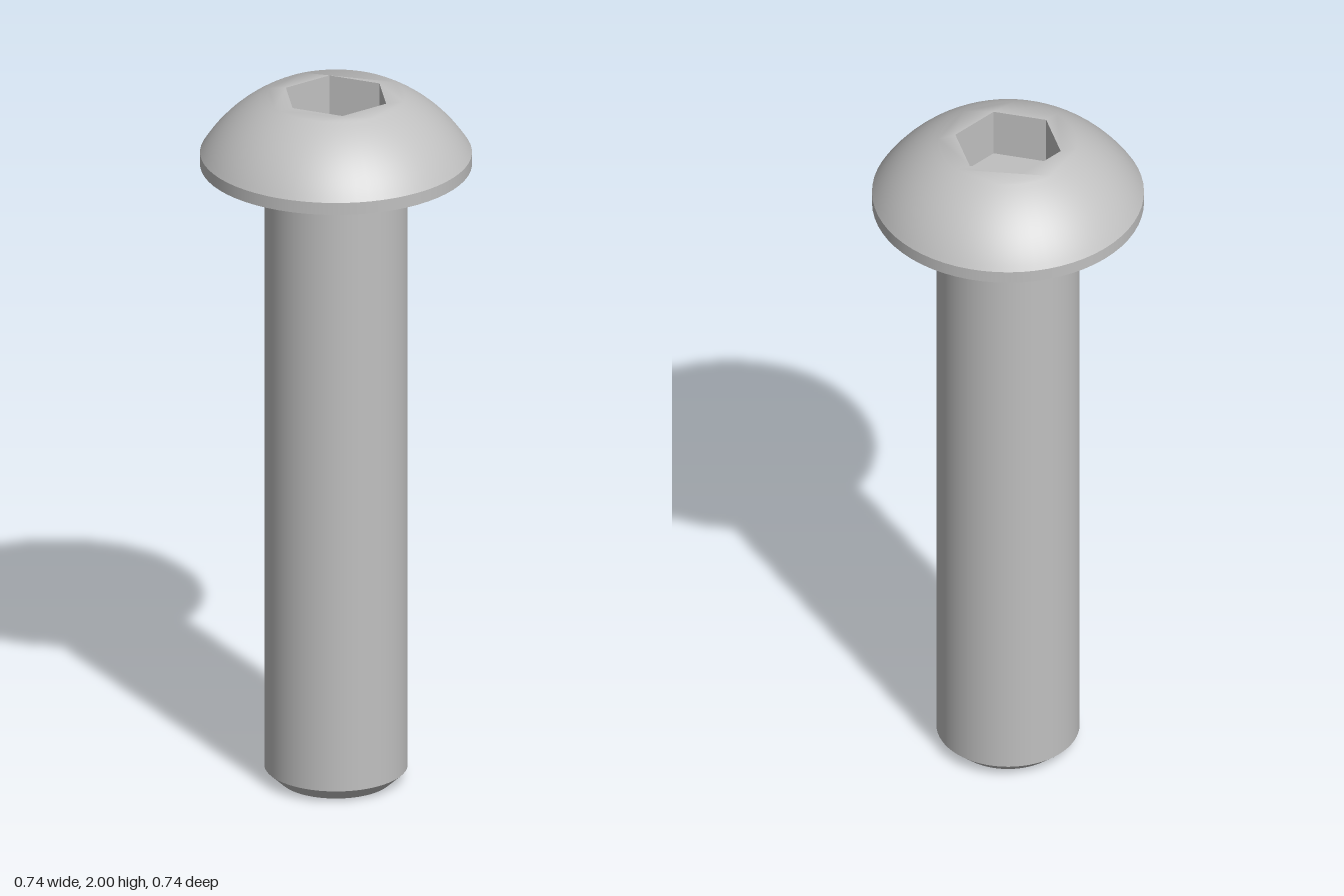
import * as THREE from 'three';
import { mergeGeometries } from 'three/addons/utils/BufferGeometryUtils.js';

const SEGMENTS = 64;
const RIM = 0.37, RIM_BASE = 1.8, RIM_TOP = 1.835;
const CROWN = 0.19, TOP = 2;
const SHANK = 0.195, TIP = 0.155, CHAMFER = 0.037;
const HEX = 0.148, SOCKET_DEPTH = 0.14;

// Revolves each profile on its own, so edges between profiles stay sharp
function revolve(profiles) {
  return mergeGeometries(profiles.map((p) =>
    new THREE.LatheGeometry(p.map(([r, y]) => new THREE.Vector2(r, y)), SEGMENTS)));
}

export function createModel() {
  const group = new THREE.Group();
  const steel = new THREE.MeshStandardMaterial({ color: 0xc0c0c0 });
  steel.name = 'steel grey';

  const add = (name, geometry) => {
    const mesh = new THREE.Mesh(geometry, steel);
    mesh.name = name;
    group.add(mesh);
  };

  // Shank with chamfered tip
  add('shank', revolve([
    [[0, 0], [TIP, 0]],
    [[TIP, 0], [SHANK, CHAMFER]],
    [[SHANK, CHAMFER], [SHANK, RIM_BASE]],
  ]));

  // Domed head: circular arc centred on the axis, over a short straight rim
  const h = TOP - RIM_TOP;
  const drop = (RIM ** 2 - CROWN ** 2 - h ** 2) / (2 * h);
  const radius = Math.hypot(RIM, drop);
  const start = Math.asin(RIM / radius), end = Math.asin(CROWN / radius);
  const dome = [];
  for (let i = 0; i <= 16; i++) {
    const a = start + (end - start) * i / 16;
    dome.push([radius * Math.sin(a), RIM_TOP - drop + radius * Math.cos(a)]);
  }
  add('head', revolve([
    [[SHANK, RIM_BASE], [RIM, RIM_BASE]],
    [[RIM, RIM_BASE], [RIM, RIM_TOP]],
    dome,
  ]));

  // Flat crown around the hexagonal opening
  const crown = new THREE.Shape().absarc(0, 0, CROWN, 0, Math.PI * 2, false);
  const hexagon = [];
  for (let i = 0; i < 6; i++) {
    const a = -i * Math.PI / 3;
    hexagon.push(new THREE.Vector2(HEX * Math.cos(a), HEX * Math.sin(a)));
  }
  crown.holes.push(new THREE.Path(hexagon));
  const crownGeometry = new THREE.ShapeGeometry(crown, SEGMENTS);
  crownGeometry.rotateX(-Math.PI / 2).translate(0, TOP, 0);
  // Outer normals follow the dome so the crown blends into it
  const pos = crownGeometry.attributes.position, normal = crownGeometry.attributes.normal;
  for (let i = 0; i < pos.count; i++) {
    const x = pos.getX(i), z = pos.getZ(i);
    if (Math.hypot(x, z) > CROWN - 0.01) {
      normal.setXYZ(i, x / radius, Math.cos(end), z / radius);
    }
  }
  add('crown', crownGeometry);

  // Hex socket: inward-facing walls and floor
  const socket = new THREE.LatheGeometry([
    new THREE.Vector2(HEX, TOP),
    new THREE.Vector2(HEX, TOP - SOCKET_DEPTH),
    new THREE.Vector2(0, TOP - SOCKET_DEPTH),
  ], 6, Math.PI / 2).toNonIndexed();
  socket.computeVertexNormals();
  add('hexSocket', socket);

  return group;
}
